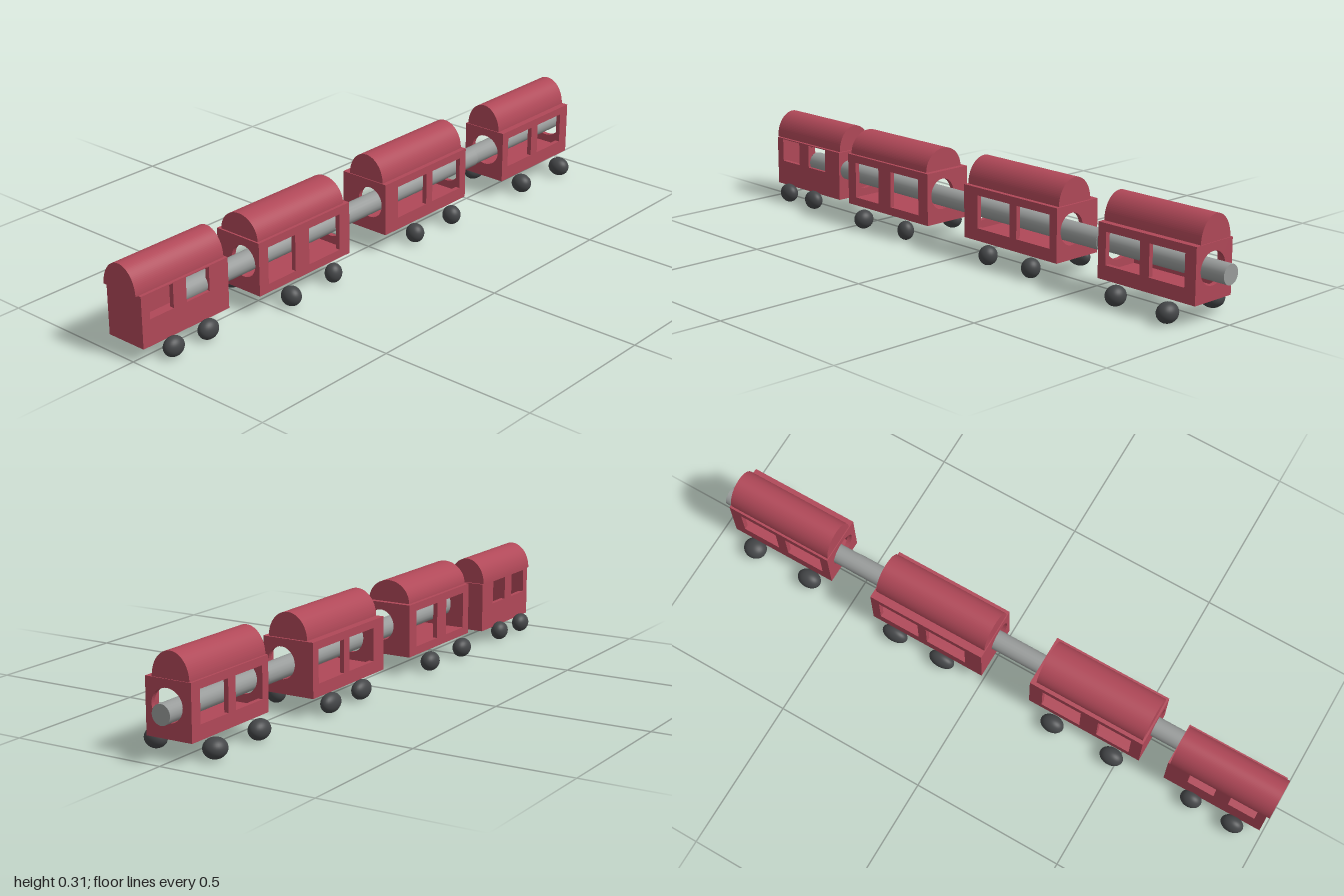
import * as THREE from 'three';

const red = new THREE.MeshStandardMaterial({ color: 0xb04858 });
const dark = new THREE.MeshStandardMaterial({ color: 0x444648 });
const grey = new THREE.MeshStandardMaterial({ color: 0x999c9b });
const WALL = 0.015;

// x, y, z: extents of the body; windows: z ranges sharing the height range winY
// wheels: [x, z, radius x, radius z]
const CARS = [
  { name: 'frontCar', x: [-0.105, 0.035], y: [0.047, 0.21], z: [0.655, 0.99],
    windows: [[0.73, 0.82], [0.87, 0.96]], winY: [0.13, 0.207],
    roof: { x: [-0.105, 0.025], z: [0.662, 1.0], top: 0.292 },
    wheels: [[0.06, 0.765, 0.026, 0.035], [0.06, 0.9, 0.026, 0.035], [-0.118, 0.76, 0.027, 0.035], [-0.124, 0.907, 0.026, 0.037]] },
  { name: 'secondCar', x: [-0.1, 0.07], y: [0.06, 0.23], z: [0.17, 0.563],
    windows: [[0.215, 0.35], [0.41, 0.525]], winY: [0.087, 0.205], hole: true,
    roof: { x: [-0.088, 0.06], z: [0.187, 0.557], top: 0.3 },
    wheels: [[0.085, 0.26, 0.026, 0.028], [0.095, 0.457, 0.033, 0.029], [-0.122, 0.267, 0.028, 0.039], [-0.122, 0.48, 0.028, 0.039]] },
  { name: 'thirdCar', x: [-0.105, 0.07], y: [0.06, 0.23], z: [-0.4, 0],
    windows: [[-0.37, -0.23], [-0.2, -0.06]], winY: [0.1, 0.205], hole: true,
    roof: { x: [-0.08, 0.055], z: [-0.393, -0.003], top: 0.31 },
    wheels: [[0.087, -0.31, 0.03, 0.029], [0.087, -0.125, 0.03, 0.029], [-0.113, -0.317, 0.025, 0.044], [-0.113, -0.143, 0.025, 0.044]] },
  { name: 'rearCar', x: [-0.07, 0.085], y: [0.06, 0.23], z: [-0.945, -0.58],
    windows: [[-0.905, -0.775], [-0.74, -0.61]], winY: [0.105, 0.205], hole: true,
    roof: { x: [-0.063, 0.064], z: [-0.942, -0.583], top: 0.31 },
    wheels: [[0.112, -0.87, 0.036, 0.03], [0.103, -0.668, 0.034, 0.03], [-0.088, -0.865, 0.035, 0.038], [-0.09, -0.656, 0.03, 0.04]] },
];

function rect(Type, a, b, c, d) {
  const s = new Type();
  s.moveTo(a, c); s.lineTo(b, c); s.lineTo(b, d); s.lineTo(a, d); s.closePath();
  return s;
}

function add(group, name, geometry, material) {
  const mesh = new THREE.Mesh(geometry, material);
  mesh.name = name;
  group.add(mesh);
  return mesh;
}

const extrude = (shape, depth) =>
  new THREE.ExtrudeGeometry(shape, { depth, bevelEnabled: false, curveSegments: 24 });

function slab(group, name, x, y, z) {
  const g = new THREE.BoxGeometry(x[1] - x[0], y[1] - y[0], z[1] - z[0]);
  g.translate((x[0] + x[1]) / 2, (y[0] + y[1]) / 2, (z[0] + z[1]) / 2);
  add(group, name, g, red);
}

function makeCar(c) {
  const car = new THREE.Group();
  car.name = c.name;
  const [x0, x1] = c.x, [y0, y1] = c.y, [z0, z1] = c.z;

  // side walls with windows, drawn in (-z, y) and turned to face sideways
  for (const [name, x] of [['rightWall', x0], ['leftWall', x1 - WALL]]) {
    const side = rect(THREE.Shape, -z1, -z0, y0, y1);
    for (const [a, b] of c.windows) side.holes.push(rect(THREE.Path, -b, -a, ...c.winY));
    const g = extrude(side, WALL);
    g.rotateY(Math.PI / 2);
    add(car, name, g, red).position.x = x;
  }

  // end walls, with a round opening for the shaft
  for (const [name, z] of [['backWall', z0], ['frontWall', z1 - WALL]]) {
    const end = rect(THREE.Shape, x0 + WALL, x1 - WALL, y0, y1);
    if (c.hole) {
      const right = Math.min(0.065, x1 - WALL - 0.001);
      const left = -0.041;
      const hole = new THREE.Path();
      hole.absellipse((left + right) / 2, 0.155, (right - left) / 2, 0.05, 0, Math.PI * 2, false, 0);
      end.holes.push(hole);
    }
    add(car, name, extrude(end, WALL), red).position.z = z;
  }

  // floor and ceiling
  const inX = [x0 + WALL, x1 - WALL], inZ = [z0 + WALL, z1 - WALL];
  slab(car, 'floor', inX, [y0, y0 + 0.02], inZ);
  slab(car, 'ceiling', inX, [c.winY[1], y1], inZ);

  // arched roof
  const r = c.roof, arch = new THREE.Shape();
  arch.absellipse((r.x[0] + r.x[1]) / 2, y1, (r.x[1] - r.x[0]) / 2, r.top - y1, 0, Math.PI, false, 0);
  arch.closePath();
  add(car, 'roof', extrude(arch, r.z[1] - r.z[0]), red).position.z = r.z[0];

  // rounded wheels
  for (const [x, z, rx, rz] of c.wheels) {
    const wheel = add(car, 'wheel', new THREE.SphereGeometry(1, 32, 20), dark);
    wheel.scale.set(rx, 0.031, rz);
    wheel.position.set(x, 0.031, z);
  }
  return car;
}

// round rod between two points
function rod(group, name, a, b, radius) {
  const from = new THREE.Vector3(...a), to = new THREE.Vector3(...b);
  const m = add(group, name, new THREE.CylinderGeometry(radius, radius, from.distanceTo(to), 20), grey);
  m.position.copy(from).add(to).multiplyScalar(0.5);
  m.quaternion.setFromUnitVectors(new THREE.Vector3(0, 1, 0), to.sub(from).normalize());
}

export function createModel() {
  const train = new THREE.Group();
  train.name = 'train';
  for (const c of CARS) train.add(makeCar(c));

  // shaft running through all the cars
  rod(train, 'frontShaft', [-0.003, 0.146, 0.82], [-0.003, 0.144, -0.52], 0.032);
  rod(train, 'rearShaft', [-0.003, 0.146, -0.1], [-0.005, 0.144, -0.995], 0.031);
  return train;
}
